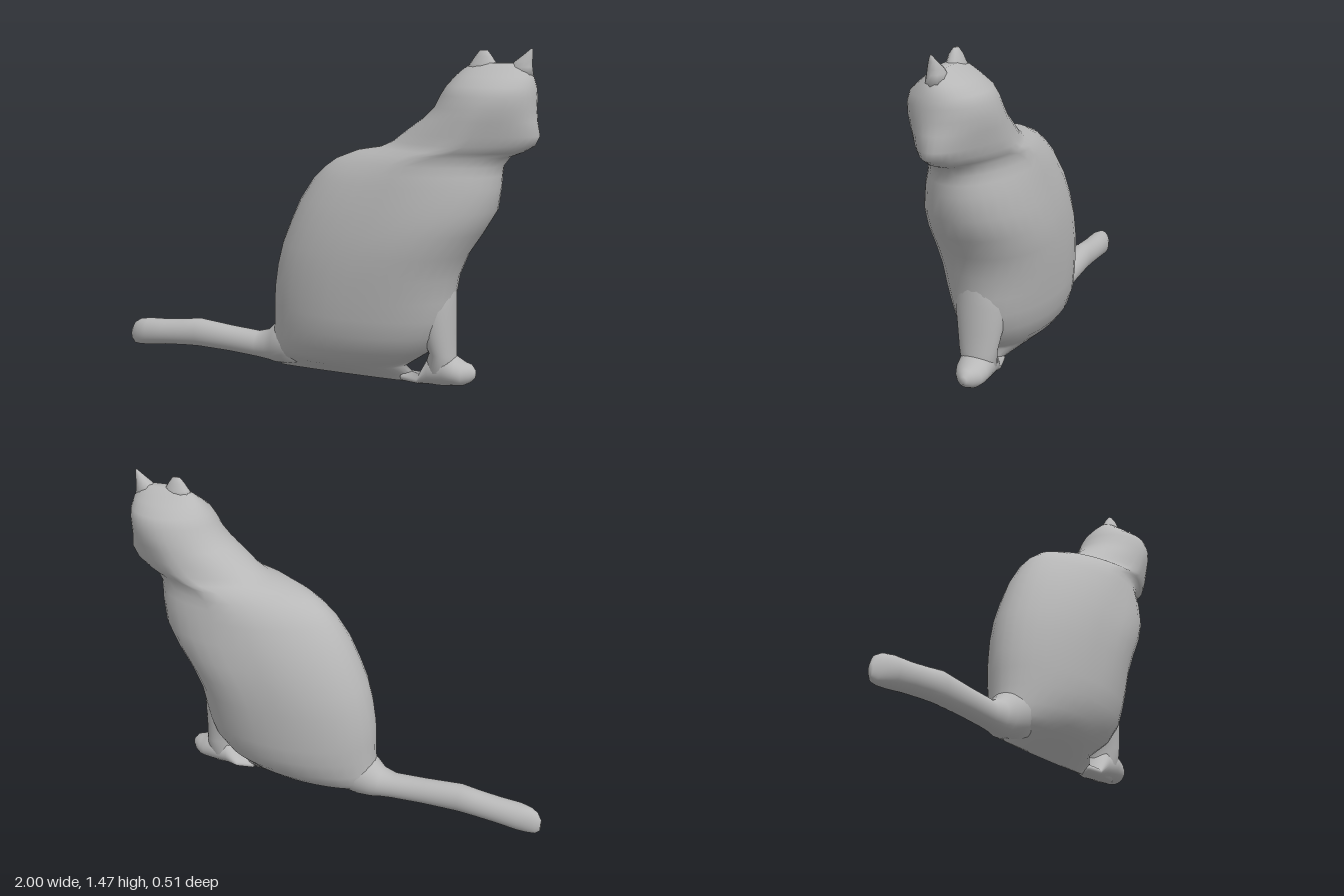
import * as THREE from 'three';

const fur = new THREE.MeshStandardMaterial({ color: 0xb8b8b8 });
fur.name = 'grey fur';

// Skin rings [position, low, high, half depth, taper of high end, taper of low end]
// stacked along y or x. A negative taper makes that end fuller.
function loft(name, rings, axis, sides = 36) {
  const first = rings[0], last = rings[rings.length - 1];
  const tip = r => [r[0], (r[1] + r[2]) / 2, (r[1] + r[2]) / 2, 0];
  const all = [tip(first), ...rings, tip(last)];
  const pos = [], index = [];
  all.forEach(([t, lo, hi, d, taperHi = 0, taperLo = 0], j) => {
    for (let i = 0; i < sides; i++) {
      const a = (i / sides) * Math.PI * 2, c = Math.cos(a);
      const u = (lo + hi) / 2 + ((hi - lo) / 2) * c;
      const z = d * Math.sin(a) * (1 - Math.abs(c) * (c > 0 ? taperHi : taperLo));
      if (axis === 'y') pos.push(u, t, z);
      else pos.push(t, u, z);
      if (j === all.length - 1) continue;
      const p = j * sides + i, q = j * sides + (i + 1) % sides;
      const r = p + sides, s = q + sides;
      if (axis === 'y') index.push(p, r, q, q, r, s);
      else index.push(p, q, r, q, s, r);
    }
  });
  const geo = new THREE.BufferGeometry();
  geo.setAttribute('position', new THREE.Float32BufferAttribute(pos, 3));
  geo.setIndex(index);
  geo.computeVertexNormals();
  const mesh = new THREE.Mesh(geo, fur);
  mesh.name = name;
  return mesh;
}

export function createModel() {
  const cat = new THREE.Group();
  cat.name = 'sittingCat';

  // Haunches, back and chest, up to the neck
  const torso = [
    [0.005, -0.18, 0.42, 0.01], [0.04, -0.21, 0.48, 0.06], [0.075, -0.22, 0.43, 0.12],
    [0.11, -0.22, 0.48, 0.155], [0.16, -0.21, 0.55, 0.192], [0.24, -0.2, 0.61, 0.225],
    [0.32, -0.2, 0.64, 0.236], [0.4, -0.195, 0.65, 0.243, -0.08], [0.5, -0.18, 0.665, 0.249, -0.14],
    [0.6, -0.155, 0.705, 0.251, -0.2], [0.7, -0.115, 0.77, 0.248, -0.2], [0.8, -0.07, 0.828, 0.236, -0.15],
    [0.9, -0.005, 0.842, 0.221, -0.08, 0.1], [0.95, 0.045, 0.845, 0.211, 0, 0.18],
    [0.99, 0.1, 0.85, 0.203, 0.08, 0.25],
  ];
  // Neck, chin and head
  const head = [
    [1.03, 0.2, 0.88, 0.196, 0.2, 0.25], [1.05, 0.31, 0.93, 0.192, 0.3, 0.15],
    [1.08, 0.37, 0.98, 0.187, 0.36, 0.05], [1.12, 0.42, 0.998, 0.183, 0.33], [1.18, 0.5, 0.985, 0.18, 0.18],
    [1.23, 0.55, 0.98, 0.177, 0.08], [1.28, 0.575, 0.98, 0.166], [1.32, 0.6, 0.976, 0.148],
    [1.36, 0.635, 0.965, 0.1], [1.39, 0.67, 0.945, 0.06], [1.415, 0.71, 0.92, 0.025],
  ];
  cat.add(loft('body', [...torso, ...head], 'y'));

  // Front leg merging into the chest, with its paw
  cat.add(loft('frontLeg', [
    [0.02, 0.52, 0.66, 0.04], [0.08, 0.52, 0.67, 0.075], [0.16, 0.545, 0.66, 0.085],
    [0.25, 0.5, 0.658, 0.1], [0.36, 0.46, 0.657, 0.115], [0.44, 0.44, 0.655, 0.11],
    [0.52, 0.44, 0.655, 0.08],
  ], 'y'));
  cat.add(loft('frontPaw', [
    [0.42, 0.01, 0.055, 0.04], [0.5, 0.008, 0.052, 0.055], [0.55, 0.01, 0.15, 0.07],
    [0.62, 0.015, 0.17, 0.078], [0.67, 0.02, 0.14, 0.072], [0.7, 0.022, 0.125, 0.06],
    [0.73, 0.038, 0.118, 0.04], [0.75, 0.06, 0.095, 0.015],
  ], 'x'));

  // Tail stretched out along the ground
  cat.add(loft('tail', [
    [-1, 0.03, 0.085, 0.012], [-0.98, 0.012, 0.12, 0.03], [-0.95, 0.01, 0.138, 0.042],
    [-0.9, 0.015, 0.147, 0.056], [-0.8, 0.028, 0.152, 0.056], [-0.7, 0.036, 0.163, 0.056],
    [-0.62, 0.04, 0.176, 0.056], [-0.45, 0.037, 0.16, 0.056], [-0.3, 0.028, 0.15, 0.058],
    [-0.24, 0.022, 0.168, 0.068], [-0.2, 0.015, 0.21, 0.085], [-0.14, 0.018, 0.25, 0.105],
    [-0.06, 0.03, 0.25, 0.1],
  ], 'x'));

  // Rounded near ear and pointed far ear
  cat.add(loft('rearEar', [
    [1.37, 0.66, 0.83, 0.05], [1.41, 0.695, 0.81, 0.034],
    [1.44, 0.715, 0.79, 0.025], [1.465, 0.735, 0.77, 0.008],
  ], 'y', 12));
  cat.add(loft('frontEar', [
    [1.36, 0.85, 0.965, 0.045], [1.4, 0.86, 0.958, 0.036], [1.42, 0.88, 0.957, 0.03],
    [1.45, 0.92, 0.958, 0.016], [1.475, 0.95, 0.957, 0.003],
  ], 'y', 10));

  return cat;
}
